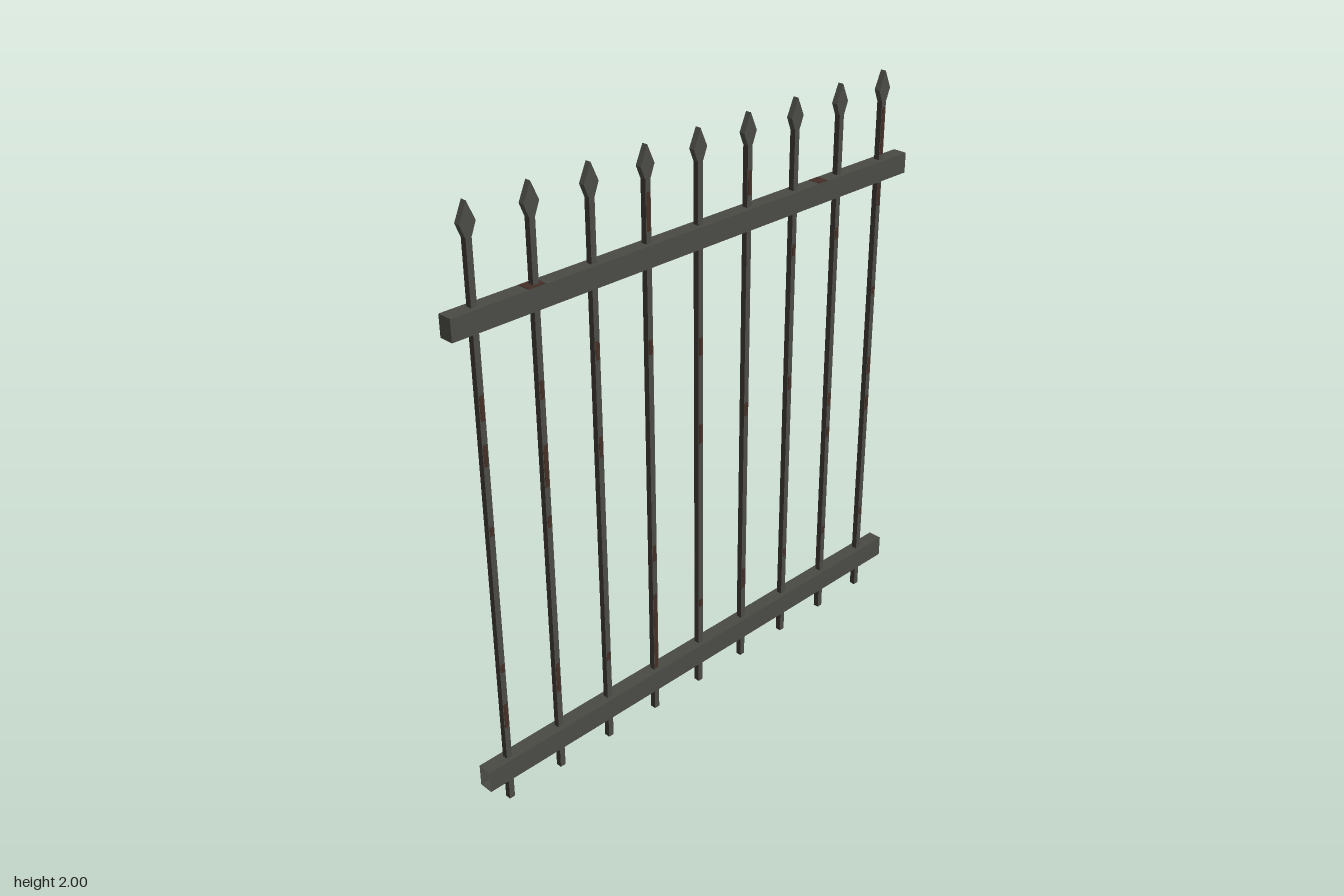
import * as THREE from 'three';

const iron = new THREE.MeshStandardMaterial({ name: 'iron', color: 0x4a4a45 });
const hollowIron = new THREE.MeshStandardMaterial({ name: 'hollowIron', color: 0x4a4a45, side: THREE.DoubleSide });
const darkIron = new THREE.MeshStandardMaterial({ name: 'darkIron', color: 0x3d3832 });
const rust = new THREE.MeshStandardMaterial({ name: 'rust', color: 0x432e26 });

const BAR = 0.02, RAIL_W = 0.05, RAIL_L = 1.89, COUNT = 9;
const barZ = (i) => 0.855 - i * 0.2107;

function add(parent, name, geometry, material, x, y, z) {
  const mesh = new THREE.Mesh(geometry, material);
  mesh.name = name;
  mesh.position.set(x, y, z);
  parent.add(mesh);
  return mesh;
}

// Flat diamond point, drawn in the z-y plane with its tip on top
function spearGeometry() {
  const shape = new THREE.Shape([
    new THREE.Vector2(-0.011, 0), new THREE.Vector2(0.011, 0),
    new THREE.Vector2(0.027, 0.04), new THREE.Vector2(0, 0.1), new THREE.Vector2(-0.027, 0.04),
  ]);
  const geometry = new THREE.ExtrudeGeometry(shape, { depth: BAR, bevelEnabled: false });
  return geometry.translate(0, 0, -BAR / 2).rotateY(Math.PI / 2);
}

// Square tube without end walls
function hollowRailGeometry(height) {
  const geometry = new THREE.BoxGeometry(RAIL_W, height, RAIL_L);
  geometry.setIndex(Array.from(geometry.index.array).slice(0, 24));
  geometry.clearGroups();
  return geometry;
}

// Rust stains as [height, length], one row per bar
const stains = [
  [[1.4, 0.08], [1.25, 0.07], [1.0, 0.03], [0.51, 0.03], [0.33, 0.09]],
  [[1.38, 0.06], [1.13, 0.14], [0.94, 0.04], [0.36, 0.11]],
  [[1.43, 0.06], [1.11, 0.07], [0.33, 0.03]],
  [[1.8, 0.12], [1.37, 0.05], [0.63, 0.06], [0.32, 0.3]],
  [[1.3, 0.06], [0.99, 0.07], [0.33, 0.03]],
  [[1.78, 0.08], [1.0, 0.05], [0.33, 0.08]],
  [[1.5, 0.04], [1.02, 0.05], [0.34, 0.03]],
  [[1.5, 0.04], [0.88, 0.05], [0.75, 0.04], [0.34, 0.03]],
  [[1.8, 0.16], [1.58, 0.08], [1.23, 0.03], [0.94, 0.07], [0.79, 0.06], [0.33, 0.03]],
];

export function createModel() {
  const fence = new THREE.Group();
  fence.name = 'fencePanel';

  // Horizontal rails
  add(fence, 'topRail', new THREE.BoxGeometry(RAIL_W, 0.07, RAIL_L), iron, 0, 1.667, 0);
  add(fence, 'bottomRail', hollowRailGeometry(0.076), hollowIron, 0, 0.126, 0);

  // Upright bars with weathered narrow sides, and their points
  const barGeometry = new THREE.BoxGeometry(BAR, 1.9, BAR);
  const barMaterials = [iron, iron, iron, iron, darkIron, darkIron];
  const spear = spearGeometry();
  for (let i = 0; i < COUNT; i++) {
    const picket = new THREE.Group();
    picket.name = `picket${i + 1}`;
    picket.position.z = barZ(i);
    add(picket, 'bar', barGeometry, barMaterials, 0, 0.95, 0);
    add(picket, 'spearPoint', spear, iron, 0, 1.9, 0);
    for (const [y, length] of stains[i])
      add(picket, 'rustStain', new THREE.BoxGeometry(BAR + 0.002, length, BAR * 0.7), rust, 0, y, 0);
    fence.add(picket);
  }

  // Rust on the top of the upper rail
  for (const [z, length] of [[-0.53, 0.04], [0.65, 0.06]])
    add(fence, 'railRust', new THREE.BoxGeometry(RAIL_W * 0.9, 0.002, length), rust, 0, 1.7025, z);

  return fence;
}
